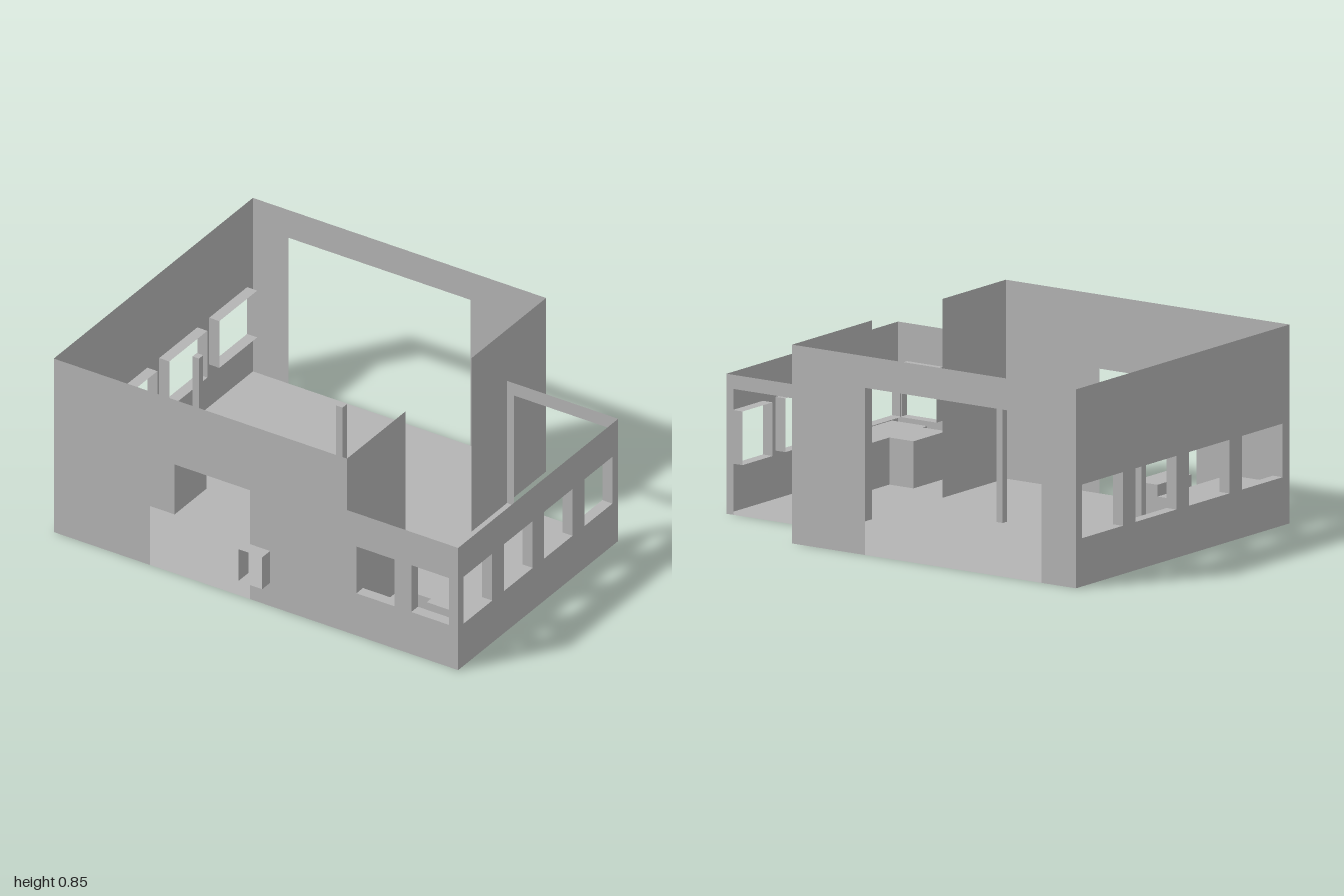
import * as THREE from 'three';

export function createModel() {
  const model = new THREE.Group();
  const grey = new THREE.MeshStandardMaterial({ color: 0xb4b4b4, side: THREE.DoubleSide });
  grey.name = 'plain grey';

  const BACK = -0.787, FRONT = 0.727, SIDE_BACK = -0.49, SPLIT = 0.45;
  const HIGH = 0.845, LOW = 0.595;
  const SILL = 0.205, HEAD = 0.433, DEPTH = 0.05;

  const add = (name, geometry, x = 0, y = 0, z = 0) => {
    const mesh = new THREE.Mesh(geometry, grey);
    mesh.name = name;
    mesh.position.set(x, y, z);
    model.add(mesh);
    return mesh;
  };

  // Flat sheet from an outline, with rectangular window holes [from, to]
  const sheet = (outline, windows = []) => {
    const shape = new THREE.Shape(outline.map(p => new THREE.Vector2(...p)));
    for (const [a, b] of windows) {
      shape.holes.push(new THREE.Path([[a, SILL], [a, HEAD], [b, HEAD], [b, SILL]]
        .map(p => new THREE.Vector2(...p))));
    }
    return new THREE.ShapeGeometry(shape);
  };
  const rect = (a, b, h) => [[a, 0], [b, 0], [b, h], [a, h]];

  // Open four-sided sleeve running along z
  const sleeve = (w, h, d) => {
    const g = new THREE.CylinderGeometry(Math.SQRT1_2, Math.SQRT1_2, 1, 4, 1, true)
      .rotateY(Math.PI / 4).rotateX(Math.PI / 2).scale(w, h, d).toNonIndexed();
    g.computeVertexNormals();
    return g;
  };
  const midY = (SILL + HEAD) / 2;

  // Floor, notched at the back corner
  add('floor', sheet([[-1, -FRONT], [1, -FRONT], [1, -SIDE_BACK], [SPLIT, -SIDE_BACK],
    [SPLIT, -BACK], [-1, -BACK]]).rotateX(-Math.PI / 2));

  // Front wall with doorway and the small hatch cut beside it
  const frontWindows = [[0.497, 0.684], [0.768, 0.954]];
  add('frontWall', sheet([[-1, 0], [-0.524, 0], [-0.524, 0.53], [-0.03, 0.53],
    [-0.03, 0.267], [0.07, 0.267], [0.07, 0.112], [-0.03, 0.112], [-0.03, 0],
    [1, 0], [1, LOW], [SPLIT, LOW], [SPLIT, HIGH], [-1, HIGH]], frontWindows), 0, 0, FRONT);
  for (const [a, b] of frontWindows) {
    add('frontWindowFrame', sleeve(b - a, HEAD - SILL, DEPTH), (a + b) / 2, midY, FRONT - DEPTH / 2);
  }
  add('hatchFrame', sleeve(0.118, 0.155, 0.076), 0.011, 0.19, 0.749);

  // Side walls, each with four framed windows
  const sides = [
    { name: 'right', x: -1, back: BACK, h: HIGH,
      windows: [[-0.743, -0.455], [-0.364, -0.075], [0.016, 0.3], [0.39, 0.679]] },
    { name: 'left', x: 1, back: SIDE_BACK, h: LOW,
      windows: [[-0.446, -0.232], [-0.142, 0.075], [0.16, 0.38], [0.468, 0.685]] },
  ];
  for (const s of sides) {
    add(s.name + 'Wall', sheet(rect(s.back, FRONT, s.h), s.windows).rotateY(-Math.PI / 2), s.x);
    for (const [a, b] of s.windows) {
      add(s.name + 'WindowFrame', sleeve(b - a, HEAD - SILL, DEPTH).rotateY(Math.PI / 2),
        s.x * (1 - DEPTH / 2), midY, (a + b) / 2);
    }
  }

  // Back walls around their wide openings
  const portal = (a, b, h, c, d, top) =>
    sheet([[a, 0], [c, 0], [c, top], [d, top], [d, 0], [b, 0], [b, h], [a, h]]);
  add('mainBackWall', portal(-1, SPLIT, HIGH, -0.823, 0.077, 0.71), 0, 0, BACK);
  add('sideBackWall', portal(SPLIT, 1, LOW, 0.485, 0.963, 0.535), 0, 0, SIDE_BACK);

  // Dividing wall in two lengths with a full-height gap
  for (const [a, b] of [[BACK, -0.22], [0.28, FRONT]]) {
    add('dividingWall', sheet(rect(a, b, HIGH)).rotateY(-Math.PI / 2), SPLIT);
  }

  // Free-standing posts and furniture blocks
  const block = (name, x0, x1, z0, z1, h) =>
    add(name, new THREE.BoxGeometry(x1 - x0, h, z1 - z0), (x0 + x1) / 2, h / 2, (z0 + z1) / 2);
  for (const x of [-0.725, -0.015]) block('post', x - 0.016, x + 0.016, 0.038, 0.07, 0.603);
  block('rightCounter', -0.952, -0.78, 0.096, 0.6, 0.2);
  block('rightCabinet', -0.78, -0.656, 0.096, 0.337, 0.25);
  block('leftCounter', 0.775, 0.955, 0.118, 0.62, 0.2);
  block('leftCabinet', 0.652, 0.775, 0.353, 0.588, 0.2);

  return model;
}
